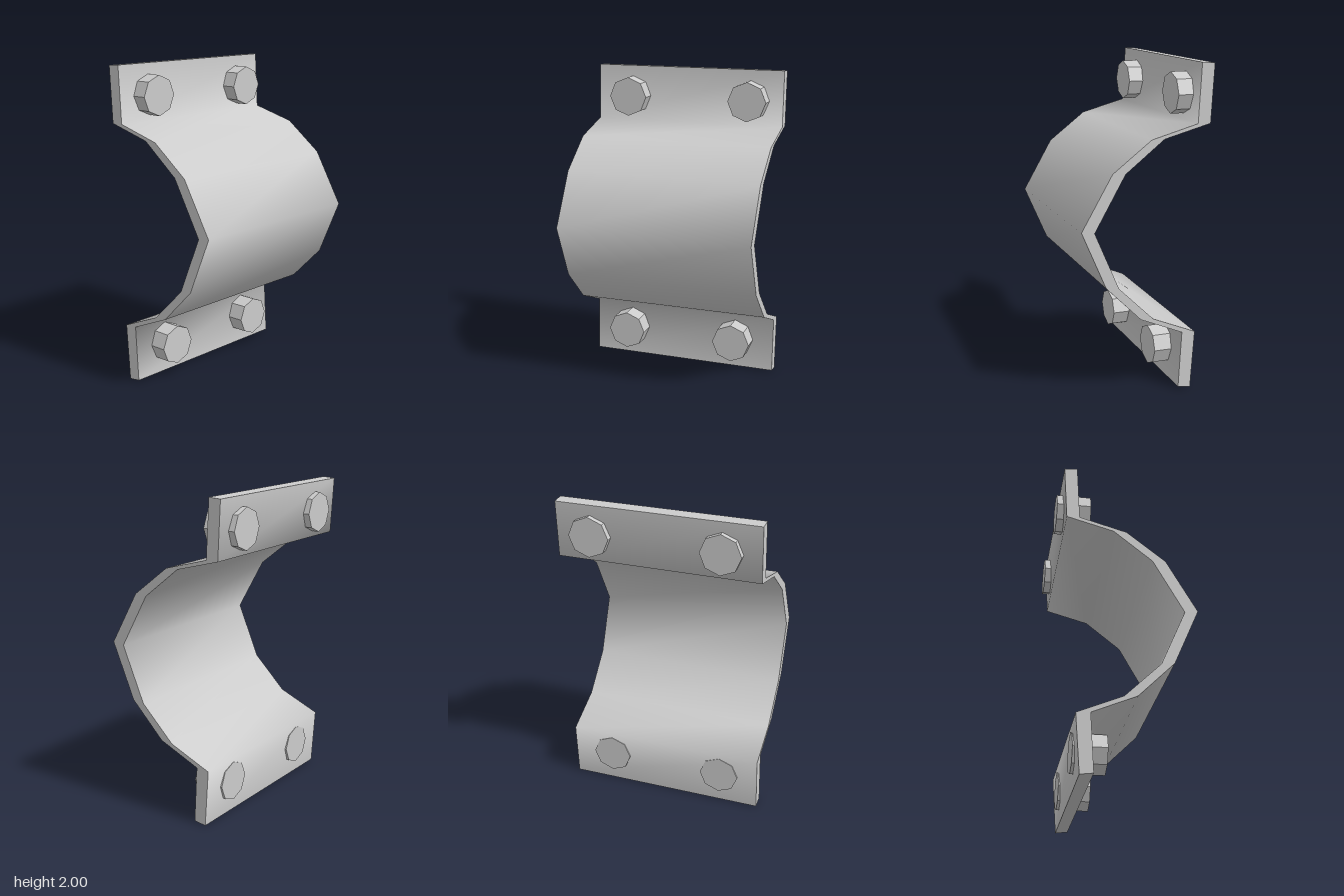
import * as THREE from 'three';
import { toCreasedNormals } from 'three/addons/utils/BufferGeometryUtils.js';

const DEPTH = 1.26;

// Cross-section of the bent strip: outer side downwards, inner side back up
const PROFILE = [
  [-0.32, 2.0], [-0.30, 1.645], [-0.01, 1.565], [0.23, 1.38], [0.42, 1.05],
  [0.27, 0.70], [0.05, 0.48], [-0.22, 0.365], [-0.20, 0.01],
  [-0.28, 0], [-0.305, 0.36], [-0.03, 0.475], [0.19, 0.69], [0.34, 1.04],
  [0.15, 1.375], [-0.09, 1.565], [-0.38, 1.643], [-0.40, 1.995],
];

// Bolt rows: x extent, height and z positions
const BOLT_ROWS = [
  { name: 'upperBolt', x0: -0.43, x1: -0.215, y: 1.805, zs: [0.393, -0.414] },
  { name: 'lowerBolt', x0: -0.305, x1: -0.10, y: 0.207, zs: [0.376, -0.366] },
];

export function createModel() {
  const group = new THREE.Group();
  group.name = 'pipeClampHalf';

  // Bent strap with two flanges, smooth along the bends
  const shape = new THREE.Shape(PROFILE.map(([x, y]) => new THREE.Vector2(x, y)));
  const strapGeometry = new THREE.ExtrudeGeometry(shape, { depth: DEPTH, bevelEnabled: false });
  strapGeometry.translate(0, 0, -DEPTH / 2);
  const strap = new THREE.Mesh(
    toCreasedNormals(strapGeometry, 1.4),
    new THREE.MeshStandardMaterial({ color: 0xcccccc }),
  );
  strap.name = 'clampStrap';
  group.add(strap);

  // Eight-sided bolts through the flanges
  const boltMaterial = new THREE.MeshStandardMaterial({ color: 0xcccccc, flatShading: true });
  for (const { name, x0, x1, y, zs } of BOLT_ROWS) {
    const geometry = new THREE.CylinderGeometry(0.126, 0.126, x1 - x0, 8);
    geometry.rotateZ(-Math.PI / 2);
    zs.forEach((z, i) => {
      const bolt = new THREE.Mesh(geometry, boltMaterial);
      bolt.name = name + (i === 0 ? 'Front' : 'Back');
      bolt.position.set((x0 + x1) / 2, y, z);
      group.add(bolt);
    });
  }
  return group;
}
